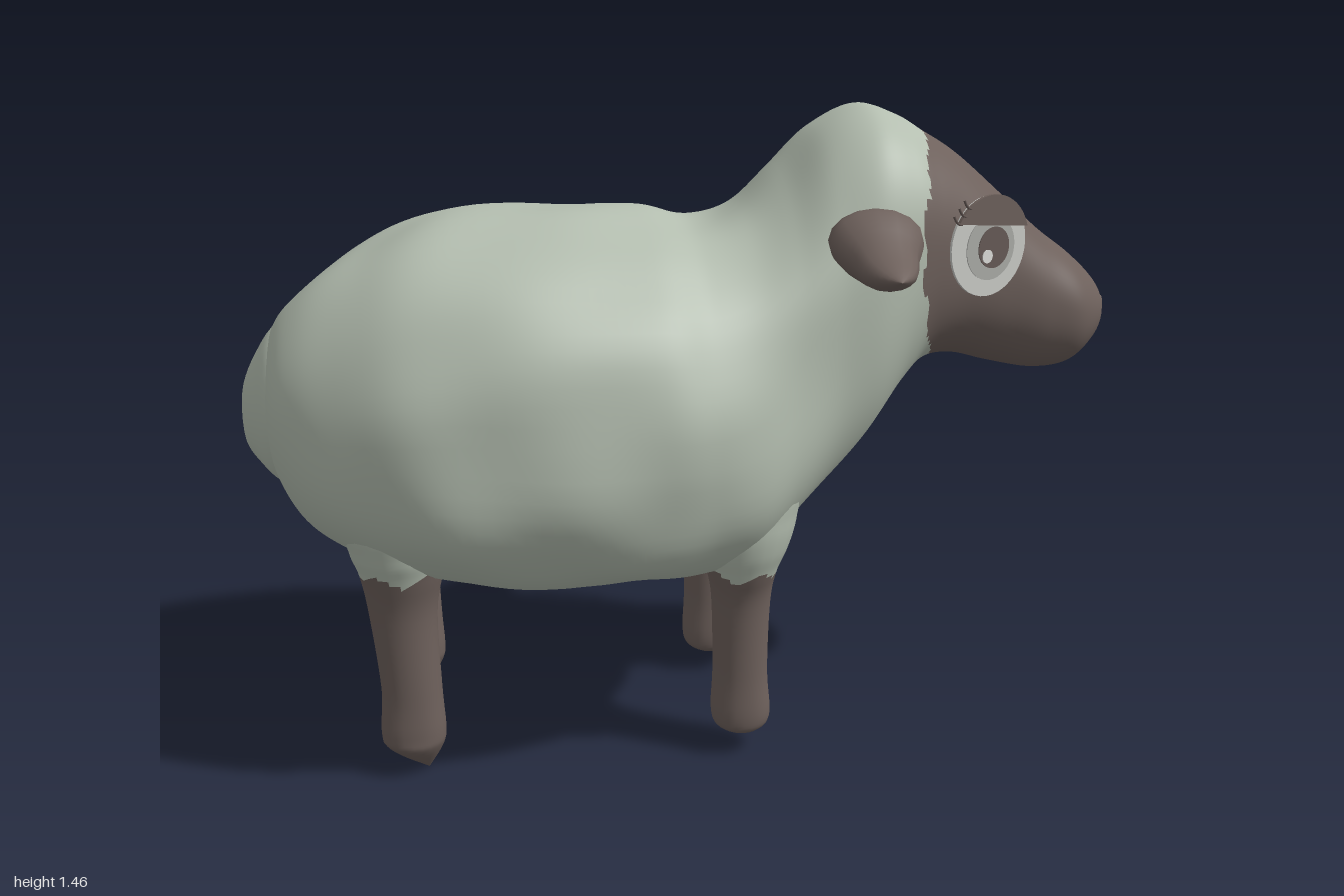
import * as THREE from 'three';

const mat = (name, color) => {
  const m = new THREE.MeshStandardMaterial({ color });
  m.name = name;
  return m;
};

// Catmull-Rom blend of two neighbouring stations
function sample(st, t) {
  const i = Math.min(Math.floor(t), st.length - 2), f = t - i;
  const at = k => st[Math.max(0, Math.min(st.length - 1, k))];
  return st[i].map((_, c) => {
    const a = at(i - 1)[c], b = at(i)[c], d = at(i + 1)[c], e = at(i + 2)[c];
    return b + 0.5 * f * (d - a + f * (2 * a - 5 * b + 4 * d - e + f * (3 * (b - d) + e - a)));
  });
}

// Closed skin along x. Station: [x, top, bottom, halfWidth, pear, roundness above, roundness below]
function loft(st, steps, sides, warp, isSecond) {
  const pos = [], groups = [[], []], rows = (st.length - 1) * steps;
  const pw = (v, e) => Math.sign(v) * Math.abs(v) ** e;
  for (let i = 0; i <= rows; i++) {
    const [x, top, bot, w, pear, up, low = up] = sample(st, i / steps);
    for (let j = 0; j < sides; j++) {
      const a = j / sides * Math.PI * 2, e = Math.sin(a) < 0 ? low : up;
      const s = pw(Math.sin(a), e), c = pw(Math.cos(a), e);
      const p = new THREE.Vector3(x, (top + bot) / 2 + (top - bot) / 2 * s, w * c * (1 - pear * s));
      if (warp) warp(p, (top + bot) / 2);
      pos.push(p.x, p.y, p.z);
    }
  }
  for (let i = 0; i < rows; i++) for (let j = 0; j < sides; j++) {
    const k = (j + 1) % sides, a = i * sides + j, b = a + sides, c = i * sides + k, d = c + sides;
    for (const t of [[a, b, c], [b, d, c]]) {
      const mid = n => t.reduce((sum, v) => sum + pos[v * 3 + n], 0) / 3;
      groups[isSecond && isSecond(mid(0), mid(1)) ? 1 : 0].push(...t);
    }
  }
  const g = new THREE.BufferGeometry();
  g.setAttribute('position', new THREE.Float32BufferAttribute(pos, 3));
  g.setIndex(groups.flat());
  g.addGroup(0, groups[0].length, 0);
  if (groups[1].length) g.addGroup(groups[0].length, groups[1].length, 1);
  g.computeVertexNormals();
  return g;
}

export function createModel() {
  const root = new THREE.Group();
  root.name = 'sheep';
  const wool = mat('wool', 0xb4beb0), skin = mat('brownSkin', 0x6e615c);
  const eyeRing = mat('eyeRing', 0xcccdc9), iris = mat('iris', 0xacada9);
  const pupil = mat('pupil', 0x675b57), shine = mat('eyeShine', 0xe0e0dc);
  const add = (parent, name, geo, material) => {
    const m = new THREE.Mesh(geo, material);
    m.name = name;
    parent.add(m);
    return m;
  };

  // Body, neck and head as one skin, brown from the face forward
  const bodyStations = [
    [-0.95, 0.82, 0.82, 0, 0, 1, 1],
    [-0.928, 0.97, 0.67, 0.19, 0, 1, 1],
    [-0.86, 1.06, 0.55, 0.3, 0.02, 0.95, 0.9],
    [-0.73, 1.15, 0.485, 0.4, 0.05, 0.92, 0.8],
    [-0.55, 1.225, 0.435, 0.475, 0.06, 0.9, 0.77],
    [-0.3, 1.24, 0.4, 0.505, 0.06, 0.9, 0.77],
    [-0.1, 1.23, 0.405, 0.49, 0.06, 0.9, 0.77],
    [0.02, 1.205, 0.425, 0.45, 0.07, 0.9, 0.74],
    [0.12, 1.235, 0.445, 0.408, 0.08, 0.9, 0.72],
    [0.21, 1.315, 0.51, 0.36, 0.07, 0.88, 0.72],
    [0.3, 1.41, 0.6, 0.322, 0.05, 0.84, 0.74],
    [0.4, 1.455, 0.7, 0.302, 0.02, 0.8, 0.8],
    [0.48, 1.435, 0.81, 0.272, 0, 0.82, 0.85],
    [0.54, 1.4, 0.872, 0.246, 0, 0.85, 0.85],
    [0.62, 1.35, 0.882, 0.212, 0, 0.87, 0.85],
    [0.72, 1.265, 0.857, 0.185, 0, 0.87, 0.87],
    [0.82, 1.175, 0.838, 0.174, 0, 0.88, 0.88],
    [0.9, 1.115, 0.847, 0.163, 0, 0.92, 0.92],
    [0.955, 1.065, 0.89, 0.122, 0, 0.97, 0.97],
    [0.984, 1.025, 0.935, 0.068, 0, 1, 1],
    [0.993, 0.98, 0.98, 0, 0, 1, 1],
  ];
  const lumps = (p, cy) => {
    const fade = 1 - THREE.MathUtils.smoothstep(p.x, 0.2, 0.48);
    const n = Math.sin(p.x * 13 + p.y * 9) * Math.sin(p.z * 14 + p.x * 5 + 1)
      + 0.6 * Math.sin(p.y * 21 - p.x * 8) * Math.cos(p.z * 19 + 0.5);
    const k = 1 + 0.016 * fade * n;
    p.y = cy + (p.y - cy) * k;
    p.z *= k;
  };
  const isFace = (x, y) => x > 0.49 + 0.8 * (y - 1.17) ** 2 + 0.006 * Math.sin(y * 50);
  add(root, 'bodyAndHead', loft(bodyStations, 8, 72, lumps, isFace), [wool, skin]);

  // Tail tuft, blending into the rump
  const tailStations = [
    [-1, 0.79, 0.79, 0, 0, 1], [-0.992, 0.86, 0.72, 0.055, 0, 1],
    [-0.96, 0.93, 0.675, 0.13, 0, 1], [-0.915, 0.99, 0.635, 0.205, 0, 1],
    [-0.84, 1.02, 0.6, 0.24, 0, 1], [-0.78, 0.82, 0.82, 0, 0, 1],
  ];
  add(root, 'tail', loft(tailStations, 5, 28), wool);

  // Legs lofted downward, woolly at the top: [-y, frontX, backX, halfWidth, pear, roundness]
  const hind = [
    [-0.74, -0.66, -0.66, 0, 0, 1], [-0.63, -0.55, -0.78, 0.115, 0, 1],
    [-0.54, -0.555, -0.77, 0.112, 0, 1], [-0.48, -0.565, -0.75, 0.093, 0, 1],
    [-0.38, -0.583, -0.733, 0.07, 0, 1], [-0.2, -0.58, -0.715, 0.064, 0, 0.95],
    [-0.1, -0.575, -0.72, 0.065, 0, 0.9], [-0.06, -0.582, -0.705, 0.058, 0, 1],
    [0, -0.617, -0.617, 0, 0, 1],
  ];
  const fore = [
    [-0.78, 0.11, 0.11, 0, 0, 1], [-0.68, 0.23, 0, 0.11, 0, 1],
    [-0.58, 0.225, -0.01, 0.125, 0, 1],
    [-0.51, 0.208, 0, 0.118, 0, 1], [-0.45, 0.183, 0.02, 0.097, 0, 1],
    [-0.37, 0.168, 0.033, 0.072, 0, 1], [-0.2, 0.163, 0.037, 0.064, 0, 0.95],
    [-0.09, 0.17, 0.034, 0.065, 0, 0.9], [-0.055, 0.15, 0.055, 0.05, 0, 1],
    [-0.04, 0.105, 0.105, 0, 0, 1],
  ];
  // Ears, lofted outward: [side, top, bottom, halfWidth, pear, roundness]
  const ear = [
    [0.2, 1.22, 1.15, 0.06, 0, 1], [0.29, 1.265, 1.135, 0.1, 0, 1],
    [0.33, 1.255, 1.118, 0.098, 0, 1],
    [0.38, 1.222, 1.112, 0.075, 0, 1], [0.43, 1.193, 1.114, 0.06, 0, 1],
    [0.48, 1.17, 1.13, 0.036, 0, 1], [0.518, 1.15, 1.15, 0, 0, 1],
  ];

  for (const side of [1, -1]) {
    const label = side > 0 ? 'Near' : 'Far';
    for (const [name, st, hem] of [['hindLeg', hind, 0.485], ['foreLeg', fore, 0.45]]) {
      const isBare = (x, y) => -x < hem + 0.012 * Math.sin(y * 60);
      const leg = add(root, name + label, loft(st, 6, 24, null, isBare), [wool, skin]);
      leg.rotation.z = -Math.PI / 2;
      leg.position.z = side * 0.228 + 0.007;
    }
    const e = add(root, 'ear' + label, loft(ear, 3, 16), skin);
    e.rotation.y = -side * Math.PI / 2;
    e.position.x = 0.37;

    // Eye built from thin stacked plates
    const eye = new THREE.Group();
    eye.name = 'eye' + label;
    eye.position.set(0.647, 1.165, side * 0.22);
    eye.rotation.y = side > 0 ? 0.46 : Math.PI - 0.46;
    root.add(eye);
    const disc = (name, r, x, y, z, m) => {
      const g = new THREE.CylinderGeometry(r, r, 0.006, 36).rotateX(Math.PI / 2);
      add(eye, name, g, m).position.set(x * side, y, z);
    };
    disc('eyeRing', 0.112, 0, 0, 0, eyeRing);
    disc('iris', 0.072, 0.004, -0.004, 0.002, iris);
    disc('pupil', 0.046, 0.012, -0.004, 0.004, pupil);
    disc('shine', 0.015, -0.008, -0.022, 0.006, shine);

    // Drooping eyelid
    const [a0, a1] = side > 0 ? [0.32, Math.PI - 0.52] : [0.52, Math.PI - 0.32];
    const lid = new THREE.Shape().absarc(0, 0, 0.114, a0, a1, false);
    const lidGeo = new THREE.ExtrudeGeometry(lid, { depth: 0.008, bevelEnabled: false, curveSegments: 20 });
    add(eye, 'eyelid', lidGeo, skin).position.z = 0.003;

    // Lashes at the rear corner
    for (let i = 0; i < 3; i++) {
      const x = -0.09 + i * 0.014, y = 0.056 + i * 0.016;
      const curve = new THREE.QuadraticBezierCurve3(
        new THREE.Vector3(x * side, y, 0.008),
        new THREE.Vector3((x - 0.018) * side, y, 0.012),
        new THREE.Vector3((x - 0.03) * side, y + 0.022, 0.014));
      add(eye, 'eyelash', new THREE.TubeGeometry(curve, 6, 0.003, 5), pupil);
    }

    // Nostril
    const nostril = add(root, 'nostril' + label, new THREE.SphereGeometry(1, 14, 10), skin);
    nostril.scale.set(0.006, 0.024, 0.013);
    nostril.position.set(0.986, 0.985, side * 0.05);
    nostril.rotation.y = -side * 0.3;
  }

  // Mouth groove plate under the nose
  const mouth = add(root, 'mouthLine', new THREE.BoxGeometry(0.009, 0.12, 0.034), skin);
  mouth.position.set(0.96, 0.9, 0);
  mouth.rotation.z = -0.62;
  return root;
}
